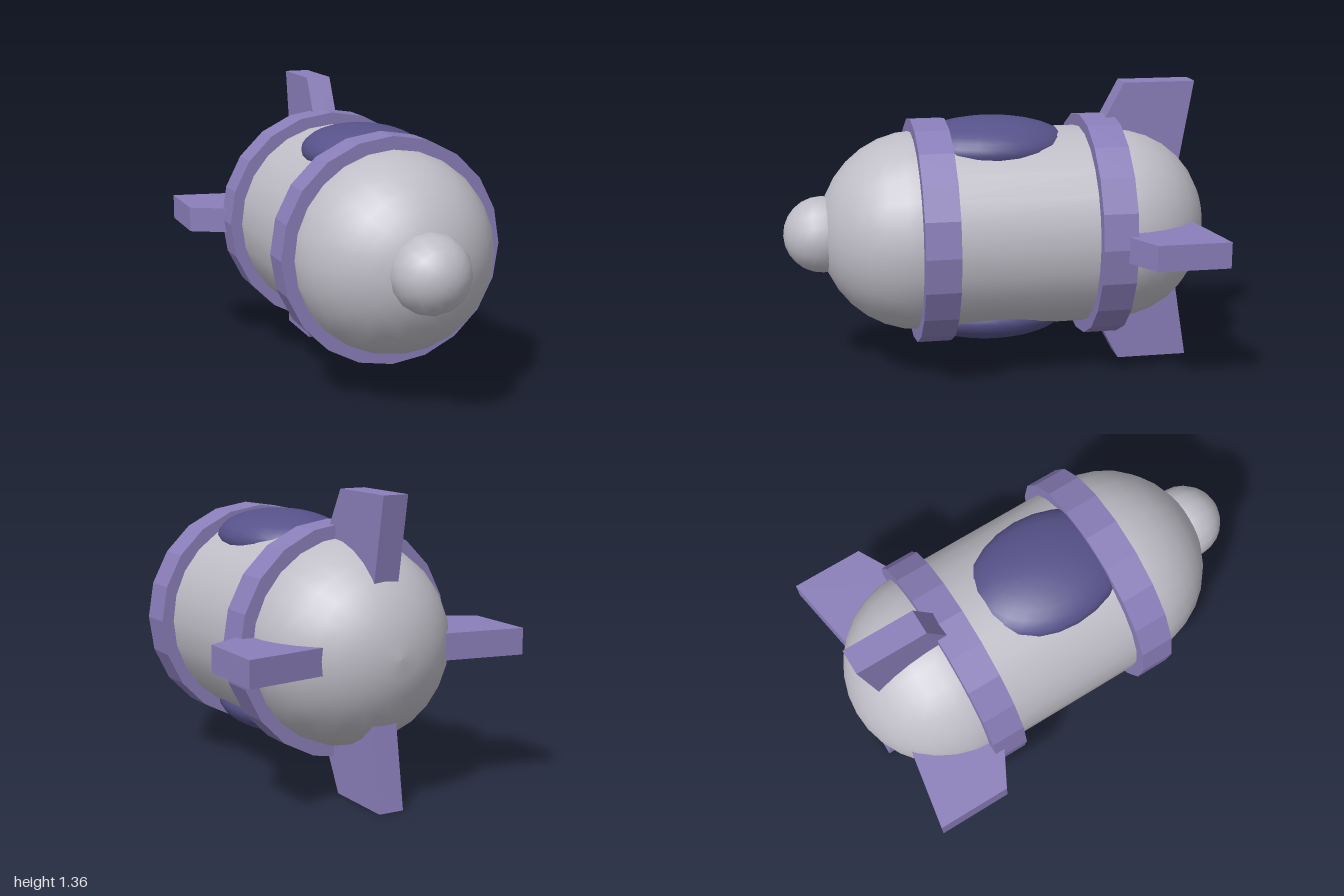
import * as THREE from 'three';

export function createModel() {
  const hull = new THREE.MeshStandardMaterial({ color: 0xbfbdc6 });
  hull.name = 'pale grey';
  const trim = new THREE.MeshStandardMaterial({ color: 0x8a7eb9, flatShading: true });
  trim.name = 'lavender';
  const glass = new THREE.MeshStandardMaterial({ color: 0x57528a });
  glass.name = 'dark violet';

  const model = new THREE.Group();
  model.name = 'rocket';
  // everything is arranged around the long axis, which runs along z
  const axis = new THREE.Group();
  axis.name = 'rocketParts';
  axis.position.y = 0.68;
  model.add(axis);

  const add = (name, geometry, material, z = 0) => {
    const mesh = new THREE.Mesh(geometry, material);
    mesh.name = name;
    mesh.position.z = z;
    axis.add(mesh);
    return mesh;
  };

  // capsule body: rear dome, straight barrel, front dome
  const radius = 0.47, rear = -0.53, front = 0.366, steps = 8;
  const profile = [];
  for (let i = 0; i <= steps; i++) {
    const a = (i / steps) * Math.PI / 2;
    profile.push(new THREE.Vector2(radius * Math.sin(a), rear - radius * Math.cos(a)));
  }
  for (let i = 0; i <= steps; i++) {
    const a = (i / steps) * Math.PI / 2;
    profile.push(new THREE.Vector2(radius * Math.cos(a), front + radius * Math.sin(a)));
  }
  profile[0].x = profile[profile.length - 1].x = 0;
  add('body', new THREE.LatheGeometry(profile, 24).rotateX(Math.PI / 2), hull);

  // round nose
  add('nose', new THREE.SphereGeometry(0.18, 16, 12).rotateX(Math.PI / 2), hull, 0.82);

  // two bands around the barrel
  for (const [name, z] of [['frontBand', 0.32], ['rearBand', -0.48]]) {
    add(name, new THREE.CylinderGeometry(0.528, 0.528, 0.16, 20).rotateX(Math.PI / 2), trim, z);
  }

  // flattened oval domes on the top and the underside
  for (const [name, side] of [['topWindow', 1], ['bottomWindow', -1]]) {
    const dome = add(name, new THREE.SphereGeometry(1, 24, 16), glass, 0.03);
    dome.scale.set(0.28, 0.13, 0.375);
    dome.position.y = side * 0.4;
  }

  // four swept tail fins, drawn as (z, distance from axis)
  const outline = new THREE.Shape([
    [-0.44, 0.38], [-0.6, 0.68], [-0.94, 0.68], [-0.873, 0.28], [-0.6, 0.28],
  ].map(([z, r]) => new THREE.Vector2(z, r)));
  const finGeometry = new THREE.ExtrudeGeometry(outline, { depth: 0.12, bevelEnabled: false })
    .translate(0, 0, -0.06).rotateY(-Math.PI / 2);
  ['topFin', 'leftFin', 'bottomFin', 'rightFin'].forEach((name, i) => {
    add(name, finGeometry, trim).rotation.z = -i * Math.PI / 2;
  });

  return model;
}
